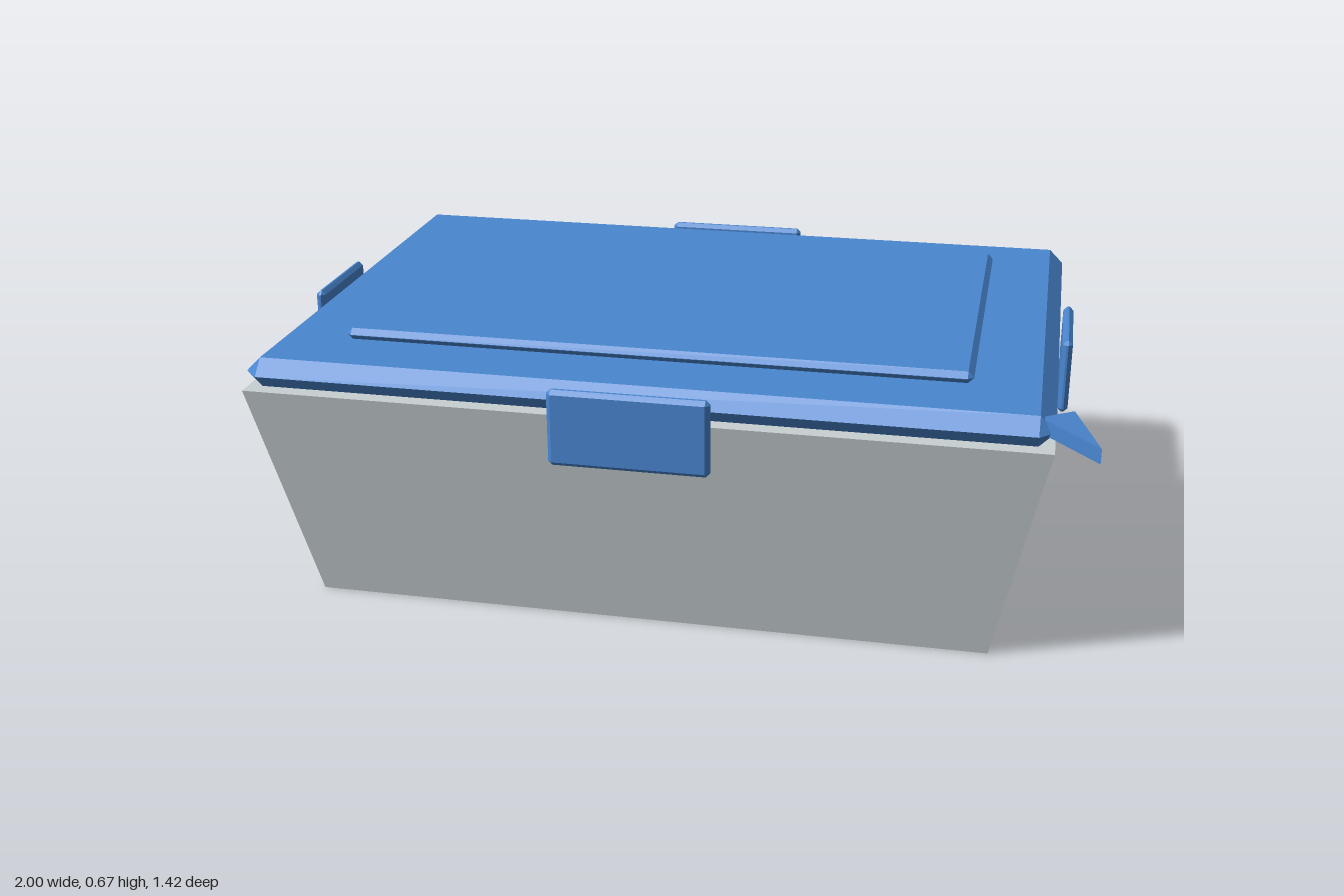
import * as THREE from 'three';
import { ConvexGeometry } from 'three/addons/geometries/ConvexGeometry.js';

const V = (x, y, z) => new THREE.Vector3(x, y, z);
const SIGNS = [-1, 1];

// Box with every edge chamfered by b; sizes are half extents
function chamferBox(hx, hy, hz, b) {
  const seen = new Map();
  const add = (x, y, z) => seen.set([x, y, z].map(n => n.toFixed(4)).join(), V(x, y, z));
  for (const i of SIGNS) for (const j of SIGNS) for (const k of SIGNS) {
    add(i * hx, j * (hy - b) + 0, k * (hz - b));
    add(i * (hx - b), j * hy, k * (hz - b));
    add(i * (hx - b), j * (hy - b) + 0, k * hz);
  }
  return new ConvexGeometry([...seen.values()]);
}

export function createModel() {
  const model = new THREE.Group();
  model.name = 'lunchBox';
  const blue = new THREE.MeshStandardMaterial({ color: 0x4a86d0 });
  blue.name = 'blue plastic';
  const grey = new THREE.MeshStandardMaterial({ color: 0xc8d0d2 });
  grey.name = 'pale grey plastic';

  const cx = -0.031, cz = -0.023; // box centre, offset by the corner tab
  const add = (name, geometry, material, x = 0, y = 0, z = 0) => {
    const mesh = new THREE.Mesh(geometry, material);
    mesh.name = name;
    mesh.position.set(x, y, z);
    model.add(mesh);
  };

  // Tapered container
  const corners = [];
  for (const i of SIGNS) for (const k of SIGNS) {
    corners.push(V(i * 0.823, 0, k * 0.545), V(i * 0.936, 0.564, k * 0.653));
  }
  add('container', new ConvexGeometry(corners), grey, cx, 0, cz);

  // Lid and its raised panel
  add('lid', chamferBox(0.936, 0.036, 0.653, 0.036), blue, cx, 0.601, cz);
  add('lidPanel', chamferBox(0.748, 0.014, 0.467, 0.0135), blue, cx, 0.651, cz);

  // Clips on the four sides
  const longClip = chamferBox(0.187, 0.092, 0.0135, 0.01);
  const shortClip = chamferBox(0.0125, 0.092, 0.139, 0.01);
  for (const s of SIGNS) {
    add(s > 0 ? 'frontClip' : 'backClip', longClip, blue, cx, 0.546, cz + s * 0.677);
    add(s > 0 ? 'leftClip' : 'rightClip', shortClip, blue, cx + s * 0.954, 0.546, cz);
  }

  // Triangular opening tab at the front left corner
  const tab = [];
  for (const [x, y, z] of [[0.998, 0.618, 0.705], [0.942, 0.618, 0.505], [0.868, 0.629, 0.582]]) {
    tab.push(V(x, y, z), V(x, y - 0.035, z));
  }
  add('openingTab', new ConvexGeometry(tab), blue);

  return model;
}
